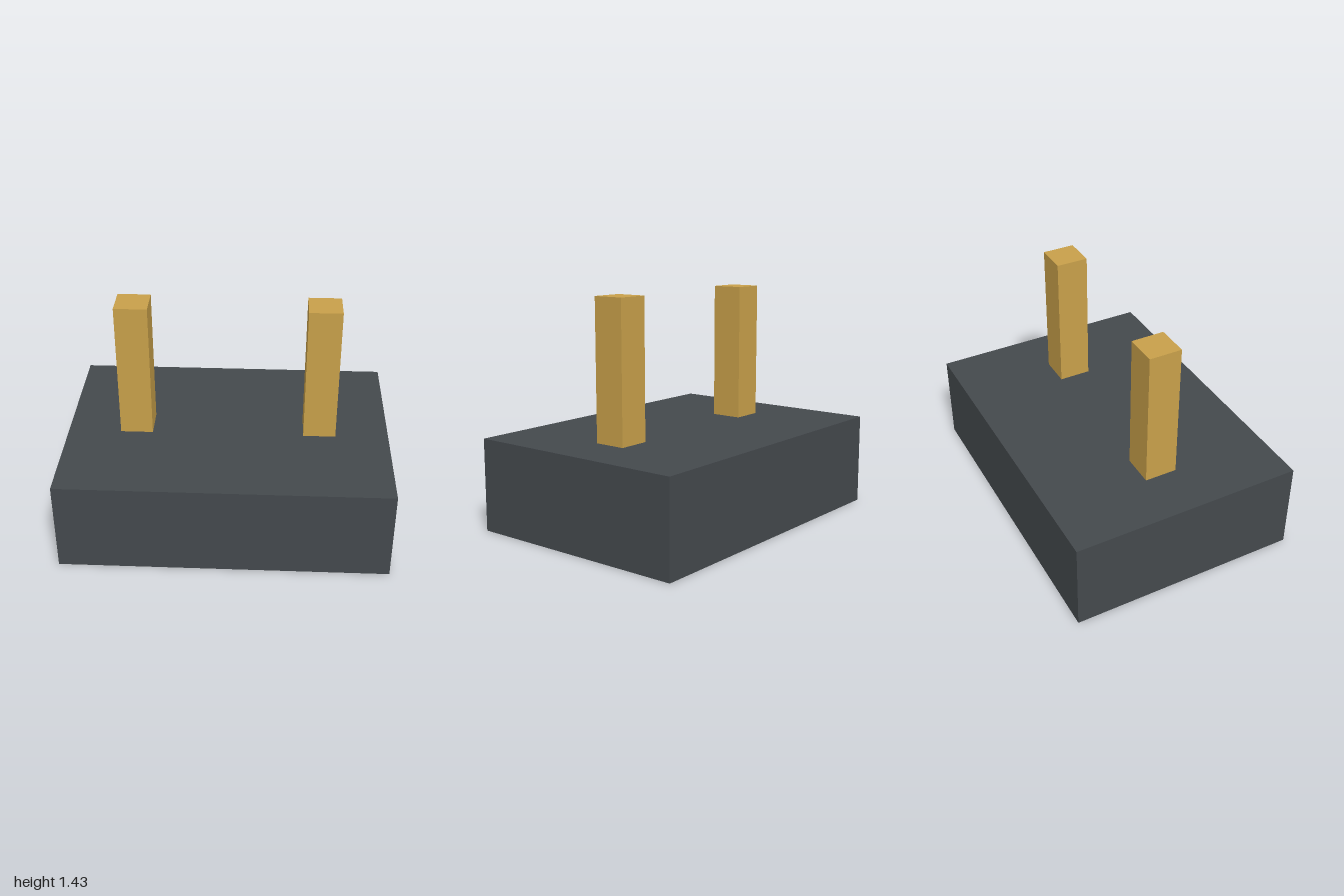
import * as THREE from 'three';

export function createModel() {
  const model = new THREE.Group();
  const darkGrey = new THREE.MeshStandardMaterial({ color: 0x44494d });
  darkGrey.name = 'darkGrey';
  const brass = new THREE.MeshStandardMaterial({ color: 0xc8a04a });
  brass.name = 'brass';

  // Adds a box whose underside sits at the given height
  function addBox(name, width, height, depth, x, bottom, material) {
    const mesh = new THREE.Mesh(new THREE.BoxGeometry(width, height, depth), material);
    mesh.name = name;
    mesh.position.set(x, bottom + height / 2, 0);
    model.add(mesh);
  }

  // Solid base block
  const baseHeight = 0.571;
  addBox('base', 2, baseHeight, 1.429, 0, 0, darkGrey);

  // Pair of square pins standing on the base
  for (const side of [-1, 1]) {
    addBox(side > 0 ? 'leftPin' : 'rightPin', 0.2, 0.857, 0.2, side * 0.571, baseHeight, brass);
  }

  return model;
}
